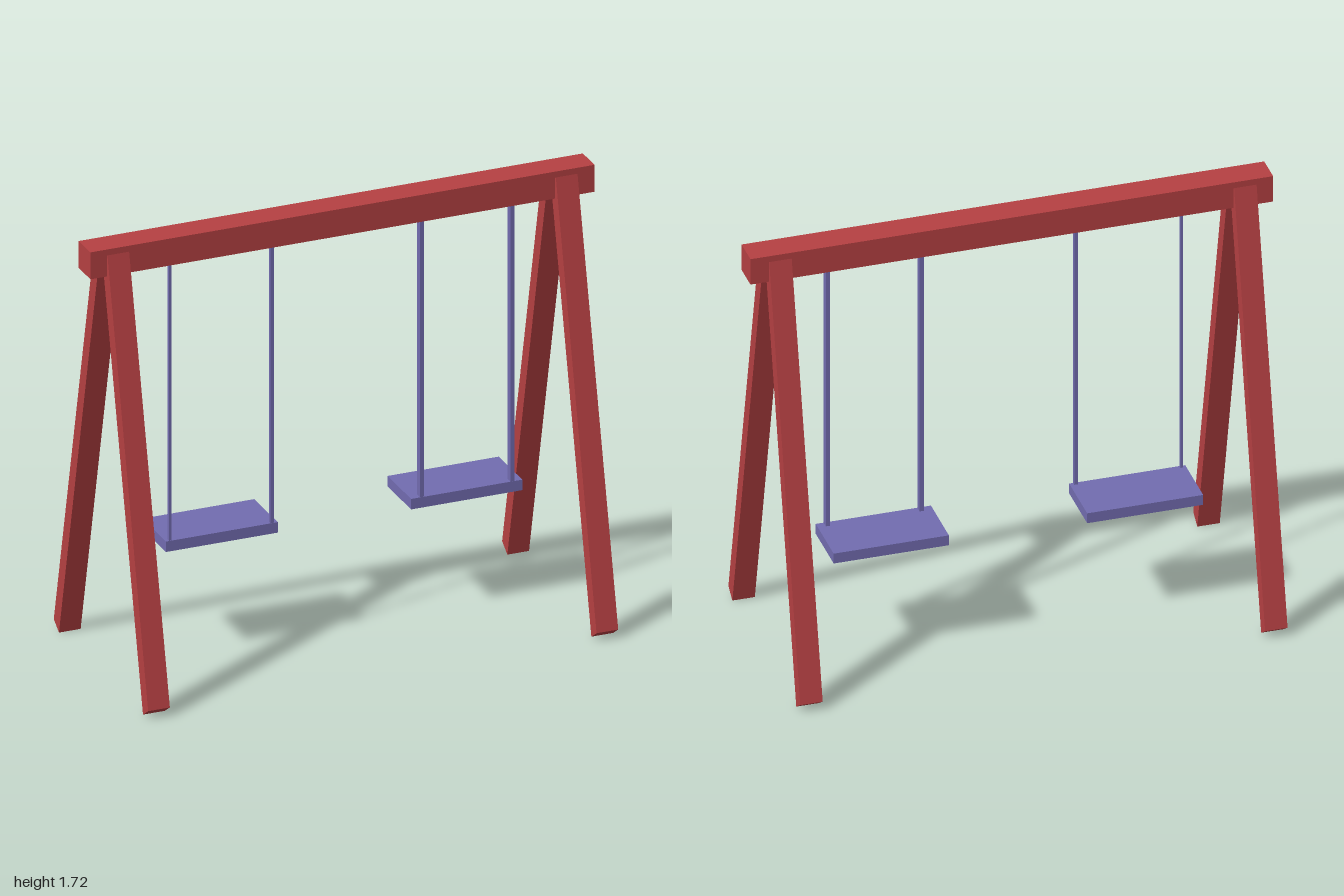
import * as THREE from 'three';

const red = new THREE.MeshStandardMaterial({ color: 0xb54042, flatShading: true });
const purple = new THREE.MeshStandardMaterial({ color: 0x726cb0, flatShading: true });

// Box given by its extents on each axis
function box(name, material, [x0, x1], [y0, y1], [z0, z1]) {
  const mesh = new THREE.Mesh(new THREE.BoxGeometry(x1 - x0, y1 - y0, z1 - z0), material);
  mesh.position.set((x0 + x1) / 2, (y0 + y1) / 2, (z0 + z1) / 2);
  mesh.name = name;
  return mesh;
}

// Slanted leg: side outline in (z, y), extruded along x
function leg(name, x, side) {
  const width = 0.086;
  const outline = [[0.444, 0.034], [0.395, 0], [0.013, 1.67], [0.061, 1.703]];
  const shape = new THREE.Shape(outline.map(([z, y]) => new THREE.Vector2(z * side, y)));
  const geometry = new THREE.ExtrudeGeometry(shape, { depth: width, bevelEnabled: false });
  geometry.translate(0, 0, -width / 2).rotateY(-Math.PI / 2);
  const mesh = new THREE.Mesh(geometry, red);
  mesh.position.x = x;
  mesh.name = name;
  return mesh;
}

// Seat hung by two straps along its front edge
function swing(name, seatX, straps, strapZ) {
  const group = new THREE.Group();
  group.name = name;
  group.add(box('seat', purple, seatX, [0.457, 0.499], [-0.192, 0.03]));
  for (const strapX of straps) group.add(box('strap', purple, strapX, [0.49, 1.63], strapZ));
  return group;
}

export function createModel() {
  const model = new THREE.Group();
  model.name = 'swingSet';

  model.add(box('topBeam', red, [-1, 1], [1.616, 1.724], [-0.055, 0.055]));

  // A-frame legs at both ends
  for (const [end, x] of [['right', -0.892], ['left', 0.887]]) {
    model.add(leg(end + 'FrontLeg', x, 1), leg(end + 'BackLeg', x, -1));
  }

  // Two swings; the right one hangs from thinner straps
  model.add(swing('rightSwing', [-0.69, -0.246], [[-0.677, -0.668], [-0.275, -0.261]], [0.016, 0.029]));
  model.add(swing('leftSwing', [0.283, 0.724], [[0.319, 0.335], [0.678, 0.694]], [0.002, 0.029]));

  return model;
}
